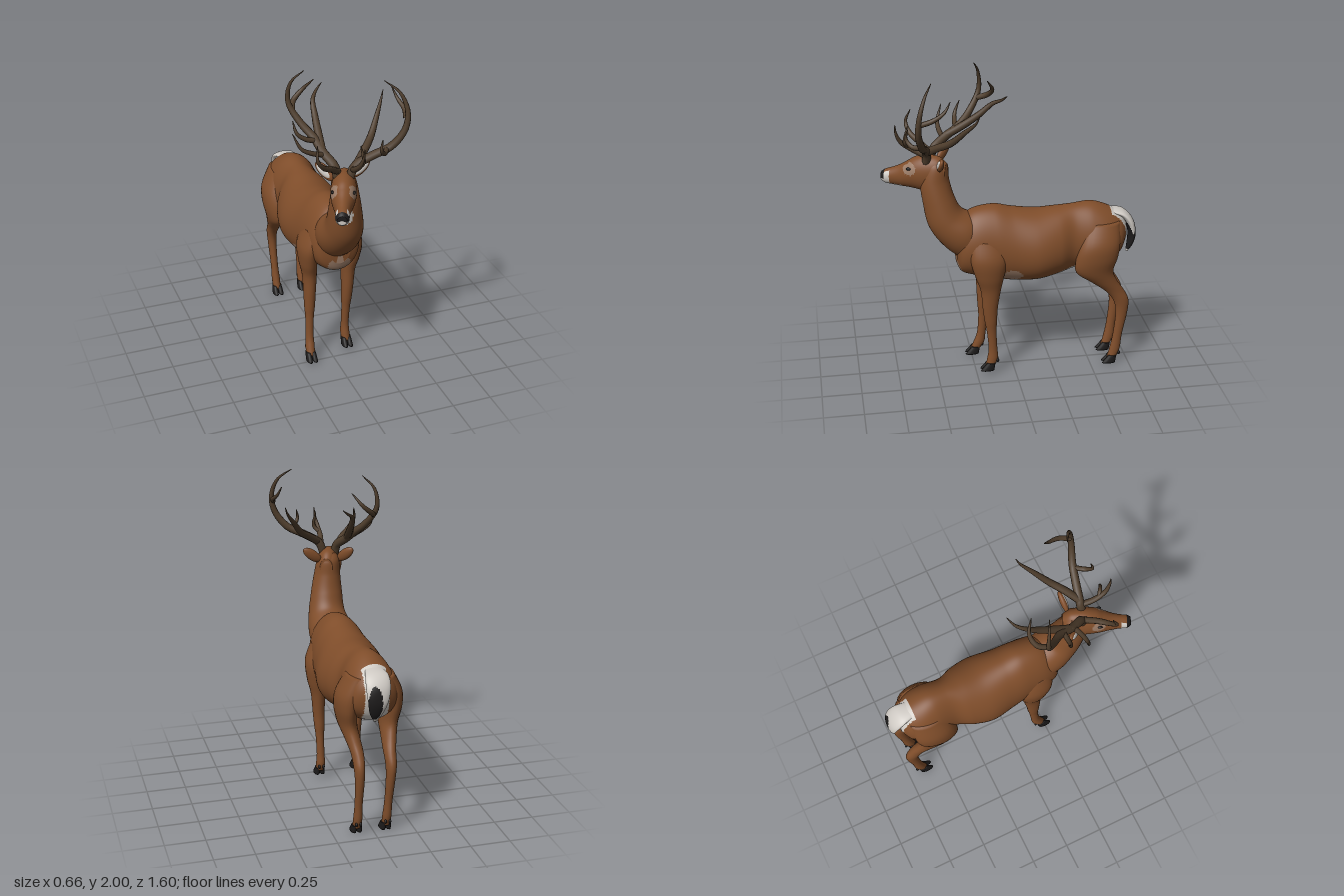
import * as THREE from 'three';

const mat = (name, color) => {
  const m = new THREE.MeshStandardMaterial({ color });
  m.name = name;
  return m;
};

// Catmull-Rom blend of rows of numbers
function sample(rows, t) {
  const n = rows.length - 1;
  const i = Math.min(Math.floor(t * n), n - 1), f = t * n - i;
  const at = (k) => rows[Math.max(0, Math.min(n, k))];
  const [a, b, c, d] = [at(i - 1), at(i), at(i + 1), at(i + 2)];
  return b.map((_, k) => b[k] + 0.5 * f * (c[k] - a[k]
    + f * (2 * a[k] - 5 * b[k] + 4 * c[k] - d[k] + f * (3 * (b[k] - c[k]) + d[k] - a[k]))));
}

// Smooth skin over sections [x, y, z, halfWidth, halfDepth, tilt in degrees].
// The path runs along (0, -sin tilt, cos tilt); paint(x, y, z) picks a material index.
function loft(name, sections, materials, { rings = 40, sides = 28, egg = 0, paint = () => 0 } = {}) {
  const pos = [], groups = materials.map(() => []);
  for (let i = 0; i <= rings; i++) {
    const [x, y, z, rx, rv, tilt] = sample(sections, i / rings);
    const t = THREE.MathUtils.degToRad(tilt);
    for (let j = 0; j < sides; j++) {
      const a = (j / sides) * Math.PI * 2, s = Math.sin(a) * rv;
      pos.push(x + Math.cos(a) * rx * (1 - egg * Math.sin(a)), y + s * Math.cos(t), z + s * Math.sin(t));
    }
  }
  const end = pos.length / 3;
  pos.push(...sections[0].slice(0, 3), ...sections[sections.length - 1].slice(0, 3));
  const face = (...ids) => {
    const c = [0, 1, 2].map((k) => ids.reduce((sum, v) => sum + pos[v * 3 + k], 0) / ids.length);
    const list = groups[paint(...c)];
    list.push(ids[0], ids[1], ids[2]);
    if (ids.length === 4) list.push(ids[0], ids[2], ids[3]);
  };
  for (let j = 0; j < sides; j++) {
    const k = (j + 1) % sides, last = rings * sides;
    for (let i = 0; i < last; i += sides) face(i + j, i + k, i + sides + k, i + sides + j);
    face(end, k, j);
    face(end + 1, last + j, last + k);
  }
  const geo = new THREE.BufferGeometry();
  geo.setAttribute('position', new THREE.Float32BufferAttribute(pos, 3));
  geo.setIndex(groups.flat());
  let start = 0;
  groups.forEach((g, i) => { geo.addGroup(start, g.length, i); start += g.length; });
  geo.computeVertexNormals();
  const mesh = new THREE.Mesh(geo, materials);
  mesh.name = name;
  return mesh;
}

// Tapered, curved antler branch
function branch(name, points, r0, material) {
  const curve = new THREE.CatmullRomCurve3(points.map((p) => new THREE.Vector3(...p)));
  const n = 28, sides = 9;
  const geo = new THREE.TubeGeometry(curve, n, 1, sides);
  const p = geo.attributes.position, v = new THREE.Vector3();
  for (let i = 0; i <= n; i++) {
    const c = curve.getPointAt(i / n), r = r0 * (1 - Math.pow(i / n, 2.2)) + 0.002;
    for (let j = 0; j <= sides; j++) {
      const k = i * (sides + 1) + j;
      v.fromBufferAttribute(p, k).sub(c).multiplyScalar(r).add(c);
      p.setXYZ(k, v.x, v.y, v.z);
    }
  }
  const mesh = new THREE.Mesh(geo, material);
  mesh.name = name;
  return mesh;
}

const oval = (x, y, rx, ry) => (x / rx) ** 2 + (y / ry) ** 2 < 1;

export function createModel() {
  const coat = mat('brown coat', 0x7f4d2a), white = mat('white fur', 0xcfcac4);
  const tan = mat('pale tan fur', 0x9a7b66), black = mat('black', 0x1d1b1b);
  const horn = mat('antler brown', 0x4e3d2c);
  const deer = new THREE.Group();
  deer.name = 'deer';

  // Torso rows: z, top, bottom, half width
  const torso = [
    [0.36, 1.0, 0.76, 0.07], [0.33, 1.05, 0.70, 0.13], [0.25, 1.11, 0.67, 0.16], [0.12, 1.13, 0.64, 0.175],
    [0, 1.105, 0.62, 0.19], [-0.15, 1.083, 0.62, 0.213], [-0.28, 1.09, 0.645, 0.19], [-0.38, 1.1, 0.67, 0.15],
    [-0.5, 1.11, 0.69, 0.16], [-0.6, 1.08, 0.71, 0.16], [-0.68, 1.035, 0.76, 0.125], [-0.725, 0.98, 0.85, 0.06],
  ].map(([z, top, bottom, w]) => [0, (top + bottom) / 2, z, w, (top - bottom) / 2, 0]).reverse();
  deer.add(loft('torso', torso, [coat, white, tan], {
    rings: 120, sides: 96, egg: 0.12,
    paint: (x, y, z) => {
      if (z < 0.1 && z > -0.5 && y < 0.652 + Math.max(0, -0.1 - z) * 0.22) return 1;
      if (z < -0.62 && Math.abs(x) < 0.075) return 1;
      if (oval(z - 0.02, y - 0.7, 0.06, 0.045)) return 2;
      return z > 0.28 && oval(x, y - 0.74, 0.075, 0.065) ? 2 : 0;
    },
  }));

  // Neck with throat patch
  deer.add(loft('neck', [
    [0, 0.86, 0.22, 0.12, 0.12, -40], [0, 0.96, 0.32, 0.14, 0.14, -45], [0, 1.06, 0.42, 0.118, 0.117, -60],
    [-0.01, 1.18, 0.46, 0.102, 0.1, -75], [-0.02, 1.3, 0.48, 0.085, 0.09, -85],
    [-0.025, 1.4, 0.47, 0.07, 0.07, -90], [-0.03, 1.445, 0.475, 0.04, 0.04, -90],
  ], [coat, white], {
    rings: 80, sides: 64,
    paint: (x, y, z) => (z > 0.5 && oval(x + 0.04, y - 1.19, 0.042, 0.055) ? 1 : 0),
  }));

  // Head, turned to its right
  const head = new THREE.Group();
  head.name = 'head';
  head.position.set(-0.035, 0, 0.5);
  head.rotation.y = -0.4;
  deer.add(head);
  const skull = [
    [-0.1, 1.42, 1.3, 0.04], [-0.05, 1.46, 1.255, 0.066], [0.03, 1.468, 1.235, 0.077], [0.1, 1.45, 1.245, 0.074],
    [0.15, 1.42, 1.25, 0.064], [0.2, 1.39, 1.252, 0.05], [0.25, 1.368, 1.257, 0.042], [0.295, 1.352, 1.263, 0.04],
    [0.32, 1.335, 1.28, 0.028],
  ].map(([z, top, bottom, w]) => [0, (top + bottom) / 2, z, w, (top - bottom) / 2, 0]);
  head.add(loft('skull', skull, [coat, white, tan, black], {
    rings: 90, sides: 64,
    paint: (x, y, z) => {
      if (z > 0.295 && y > 1.3) return 3;
      if (z > 0.262 && (y < 1.325 || Math.abs(x) > 0.027)) return 1;
      if (z > 0.18 && y < 1.267) return 1;
      return Math.abs(x) > 0.035 && oval(z - 0.122, y - 1.387, 0.044, 0.038) ? 2 : 0;
    },
  }));
  const ball = new THREE.SphereGeometry(1, 24, 16);
  const blob = (parent, name, material, position, scale) => {
    const m = new THREE.Mesh(ball, material);
    m.name = name;
    m.position.set(...position);
    m.scale.set(...scale);
    parent.add(m);
  };
  for (const s of [1, -1]) {
    blob(head, 'eye', black, [s * 0.063, 1.388, 0.125], [0.008, 0.009, 0.016]);
    // Leaf-shaped ears with a pale inside
    const ear = new THREE.Group();
    ear.name = s > 0 ? 'leftEar' : 'rightEar';
    ear.position.set(s > 0 ? 0.092 : -0.115, 1.44, s > 0 ? -0.09 : -0.04);
    ear.rotation.set(-0.15, s * 0.35, s * -0.85);
    blob(ear, 'earBack', coat, [0, 0, 0], [0.034, 0.074, 0.02]);
    blob(ear, 'earInside', white, [0, 0.004, 0.01], [0.023, 0.056, 0.014]);
    head.add(ear);
  }

  // Legs: rows x, y, z, half width, half depth
  const foreRows = [
    [0.11, 0.94, 0.18, 0.05, 0.1], [0.145, 0.82, 0.17, 0.06, 0.115], [0.142, 0.7, 0.165, 0.055, 0.09],
    [0.13, 0.6, 0.158, 0.045, 0.064], [0.125, 0.47, 0.162, 0.038, 0.048], [0.122, 0.38, 0.158, 0.034, 0.04],
    [0.12, 0.3, 0.153, 0.027, 0.031], [0.118, 0.18, 0.145, 0.025, 0.028], [0.118, 0.11, 0.147, 0.029, 0.035],
    [0.12, 0.06, 0.162, 0.027, 0.03],
  ];
  const hindRows = [
    [0.08, 1.0, -0.56, 0.06, 0.11], [0.125, 0.88, -0.54, 0.073, 0.13], [0.138, 0.78, -0.52, 0.066, 0.135],
    [0.128, 0.68, -0.51, 0.056, 0.12], [0.113, 0.6, -0.575, 0.046, 0.085], [0.1, 0.53, -0.645, 0.038, 0.062],
    [0.098, 0.46, -0.692, 0.033, 0.05], [0.095, 0.37, -0.7, 0.028, 0.038], [0.092, 0.22, -0.678, 0.024, 0.03],
    [0.09, 0.12, -0.662, 0.027, 0.034], [0.09, 0.06, -0.642, 0.025, 0.03],
  ];
  // The foot can be shifted by step (forward), spread (outward) and drop (down)
  function leg(name, rows, side, step, spread, drop) {
    const g = new THREE.Group();
    g.name = name;
    const placed = rows.map(([x, y, z, rx, rz]) => {
      const k = Math.max(0, (0.6 - y) / 0.54);
      return [side * (x + spread * k), y - drop * k, z + step * k * k, rx, rz, 90];
    });
    g.add(loft('limb', placed, [coat], { rings: 50, sides: 24 }));
    const [x, y, z] = placed[placed.length - 1];
    for (const t of [-0.016, 0.016]) {
      g.add(loft('hoof', [
        [x + t, y + 0.02, z - 0.004, 0.015, 0.026, 90], [x + t, y - 0.005, z + 0.008, 0.018, 0.035, 90],
        [x + t * 1.1, y - 0.032, z + 0.022, 0.018, 0.044, 90],
      ], [black], { rings: 8, sides: 16 }));
    }
    for (const t of [-0.014, 0.014]) blob(g, 'dewclaw', black, [x + t, y + 0.035, z - 0.045], [0.008, 0.014, 0.01]);
    deer.add(g);
  }
  leg('leftForeleg', foreRows, 1, 0, 0, 0);
  leg('rightForeleg', foreRows, -1, 0.065, 0.027, 0.018);
  leg('leftHindLeg', hindRows, 1, 0, 0.012, 0.024);
  leg('rightHindLeg', hindRows, -1, 0, -0.008, 0.028);

  // Tail
  deer.add(loft('tail', [
    [0, 1.045, -0.62, 0.05, 0.015, 165], [0, 1.025, -0.7, 0.07, 0.022, 145], [0.005, 0.97, -0.75, 0.074, 0.026, 115],
    [0.01, 0.89, -0.77, 0.062, 0.023, 92], [0.018, 0.82, -0.76, 0.042, 0.018, 80], [0.02, 0.76, -0.738, 0.01, 0.008, 70],
  ], [white, black], {
    rings: 60, sides: 48, paint: (x, y) => (oval(x - 0.03, y - 0.88, 0.042, 0.105) ? 1 : 0),
  }));

  // Antlers: beams and tines with their base radius
  const antlers = {
    leftAntler: [
      ['frontBeam', 0.025, [[-0.01, 1.43, 0.53], [0.02, 1.5, 0.53], [0.12, 1.56, 0.55], [0.22, 1.61, 0.575], [0.295, 1.71, 0.6], [0.315, 1.82, 0.595], [0.28, 1.93, 0.56], [0.2, 1.998, 0.51]]],
      ['rearBeam', 0.023, [[0.03, 1.51, 0.53], [0.1, 1.56, 0.47], [0.17, 1.61, 0.4], [0.24, 1.7, 0.32], [0.29, 1.77, 0.26], [0.31, 1.82, 0.24]]],
      ['upperTine', 0.014, [[0.305, 1.78, 0.595], [0.325, 1.81, 0.52], [0.31, 1.85, 0.45], [0.29, 1.91, 0.41]]],
      ['sideTine', 0.014, [[0.2, 1.6, 0.57], [0.16, 1.6, 0.63], [0.13, 1.64, 0.66], [0.14, 1.7, 0.65]]],
      ['browTine', 0.017, [[0.01, 1.48, 0.53], [-0.01, 1.52, 0.61], [-0.01, 1.57, 0.68], [0, 1.63, 0.71], [0.005, 1.69, 0.715]]],
      ['browFork', 0.011, [[-0.01, 1.54, 0.64], [0.02, 1.58, 0.66], [0.01, 1.68, 0.64]]],
    ],
    rightAntler: [
      ['outerBeam', 0.026, [[-0.075, 1.43, 0.5], [-0.085, 1.49, 0.48], [-0.125, 1.55, 0.4], [-0.15, 1.61, 0.31], [-0.21, 1.69, 0.23], [-0.26, 1.8, 0.17], [-0.245, 1.92, 0.175], [-0.175, 1.998, 0.21]]],
      ['rearBeam', 0.023, [[-0.13, 1.56, 0.39], [-0.115, 1.62, 0.29], [-0.1, 1.69, 0.19], [-0.085, 1.76, 0.11], [-0.05, 1.79, 0.06], [0, 1.83, 0.03]]],
      ['upperTine', 0.016, [[-0.245, 1.75, 0.19], [-0.21, 1.78, 0.12], [-0.15, 1.83, 0.1], [-0.09, 1.905, 0.14]]],
      ['sideTine', 0.014, [[-0.12, 1.54, 0.41], [-0.2, 1.57, 0.43], [-0.27, 1.61, 0.43], [-0.315, 1.7, 0.4]]],
      ['middleTine', 0.014, [[-0.145, 1.6, 0.33], [-0.21, 1.62, 0.33], [-0.26, 1.66, 0.32], [-0.275, 1.73, 0.29]]],
      ['browTine', 0.018, [[-0.08, 1.47, 0.5], [-0.14, 1.52, 0.56], [-0.2, 1.56, 0.61], [-0.245, 1.62, 0.63], [-0.235, 1.7, 0.6]]],
    ],
  };
  for (const [name, parts] of Object.entries(antlers)) {
    const g = new THREE.Group();
    g.name = name;
    for (const [part, r, points] of parts) g.add(branch(part, points, r, horn));
    deer.add(g);
  }
  return deer;
}
